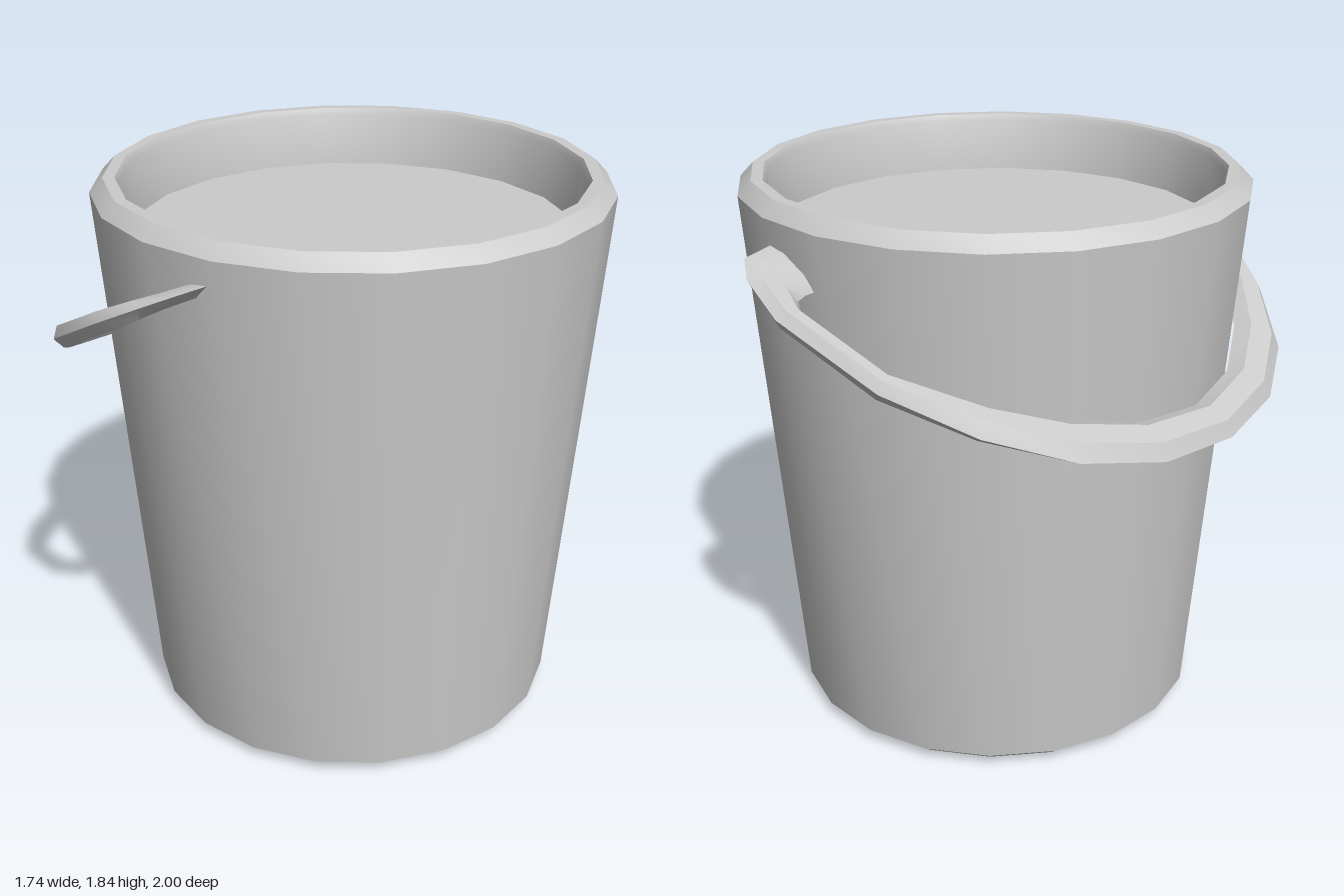
import * as THREE from 'three';
import { toCreasedNormals } from 'three/addons/utils/BufferGeometryUtils.js';

const material = new THREE.MeshStandardMaterial({ color: 0xcccccc });
const SIDES = 20;
const CENTRE_X = 0.045;

function addMesh(parent, name, geometry, crease) {
  const mesh = new THREE.Mesh(toCreasedNormals(geometry, crease), material);
  mesh.name = name;
  parent.add(mesh);
  return mesh;
}

function lathe(profile) {
  return new THREE.LatheGeometry(profile.map(([r, y]) => new THREE.Vector2(r, y)), SIDES);
}

// Flat hexagonal band swept between an outer and an inner edge in a tilted plane
function bandGeometry() {
  // One half as [outer x, outer z, inner x, inner z, thickness], from middle to bucket
  const half = [
    [-0.87, 0, -0.735, 0, 0.075],
    [-0.83, 0.31, -0.69, 0.27, 0.075],
    [-0.71, 0.58, -0.58, 0.5, 0.075],
    [-0.52, 0.79, -0.45, 0.68, 0.075],
    [-0.28, 0.94, -0.25, 0.87, 0.07],
    [0.04, 1.0, 0.02, 0.915, 0.065],
    [0.19, 0.96, 0.07, 0.88, 0.055],
    [0.26, 0.9, 0.08, 0.84, 0.045],
    [0.28, 0.74, 0.08, 0.74, 0.04],
  ];
  const mirrored = half.slice(1).reverse().map(([a, b, c, d, t]) => [a, -b, c, -d, t]);
  const sections = [...mirrored, ...half];
  const slope = 0.509;
  const onPlane = (x, z) => new THREE.Vector3(x, 1.57 + slope * x, z);
  const normal = new THREE.Vector3(-slope, 1, 0).normalize();
  const hexagon = [[0, 0], [0.27, 1], [0.73, 1], [1, 0], [0.73, -1], [0.27, -1]];

  const positions = [];
  for (const [ox, oz, ix, iz, thick] of sections) {
    const outer = onPlane(ox, oz), inner = onPlane(ix, iz);
    for (const [u, v] of hexagon) {
      const p = outer.clone().lerp(inner, u).addScaledVector(normal, v * thick / 2);
      positions.push(p.x, p.y, p.z);
    }
  }

  const index = [];
  const n = hexagon.length, last = (sections.length - 1) * n;
  for (let s = 0; s < sections.length - 1; s++) {
    for (let k = 0; k < n; k++) {
      const a = s * n + k, b = s * n + (k + 1) % n;
      index.push(a, a + n, b, b, a + n, b + n);
    }
  }
  // End caps
  for (let k = 1; k < n - 1; k++) {
    index.push(0, k, k + 1, last, last + k + 1, last + k);
  }
  const geometry = new THREE.BufferGeometry();
  geometry.setAttribute('position', new THREE.Float32BufferAttribute(positions, 3));
  geometry.setIndex(index);
  return geometry;
}

export function createModel() {
  const group = new THREE.Group();
  group.name = 'bucket';

  // Tapered shell with bevelled foot and rim, continuing down the inside wall
  const shell = addMesh(group, 'shell', lathe([
    [0, 0], [0.64, 0], [0.69, 0.04], [0.825, 1.79], [0.782, 1.835],
    [0.745, 1.835], [0.735, 1.815], [0.717, 1.64],
  ]), 0.5);
  shell.position.x = CENTRE_X;

  // Level surface inside, just below the rim
  const contents = addMesh(group, 'contents', lathe([[0.718, 1.64], [0, 1.64]]), 0.5);
  contents.position.x = CENTRE_X;

  // Carrying handle resting against one side
  addMesh(group, 'handle', bandGeometry(), 0.6);

  return group;
}
